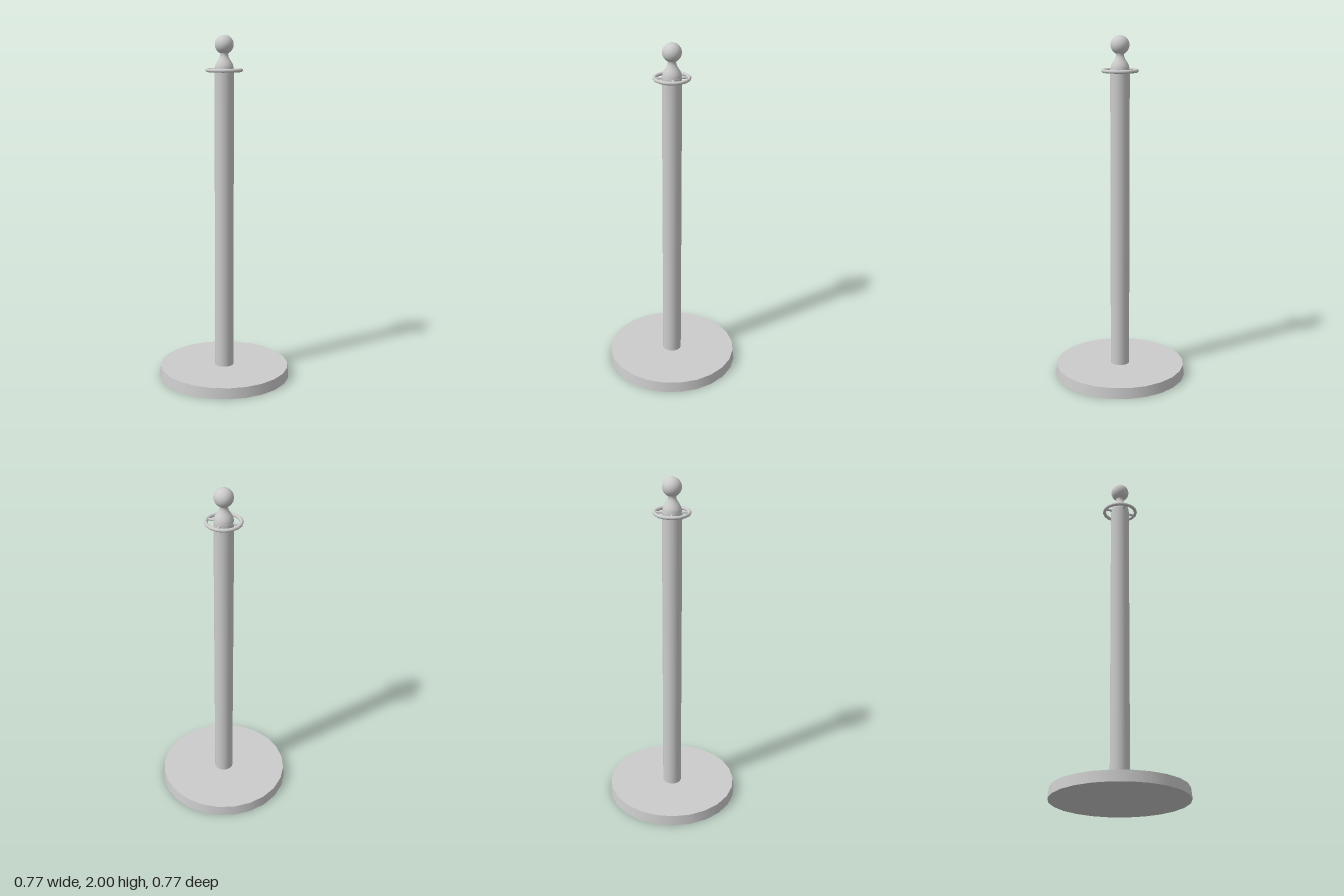
import * as THREE from 'three';

export function createModel() {
  const group = new THREE.Group();
  const material = new THREE.MeshStandardMaterial({ color: 0xcccccc });
  const add = (name, geometry, parent = group) => {
    const mesh = new THREE.Mesh(geometry, material);
    mesh.name = name;
    parent.add(mesh);
    return mesh;
  };

  // Heavy round foot, slightly tapered
  const base = add('base', new THREE.CylinderGeometry(0.38, 0.387, 0.062, 24));
  base.position.y = 0.031;
  base.rotation.y = 0.03;

  // Upright pole
  const pole = add('pole', new THREE.CylinderGeometry(0.055, 0.055, 1.75, 32));
  pole.position.y = 0.06 + 1.75 / 2;

  // Bell-shaped collar narrowing to the neck
  const collarProfile = [
    [0.054, 1.8], [0.053, 1.82], [0.049, 1.836], [0.04, 1.853],
    [0.03, 1.868], [0.024, 1.882], [0.022, 1.893], [0.026, 1.904],
  ].map(([r, y]) => new THREE.Vector2(r, y));
  add('collar', new THREE.LatheGeometry(collarProfile, 32));

  // Ball finial
  const ball = add('ball', new THREE.SphereGeometry(0.053, 32, 20));
  ball.position.y = 1.947;

  // Rope ring held by four diagonal spokes
  const ringGroup = new THREE.Group();
  ringGroup.name = 'ropeRing';
  ringGroup.position.y = 1.805;
  group.add(ringGroup);
  const ring = add('ring', new THREE.TorusGeometry(0.096, 0.01, 10, 16), ringGroup);
  ring.rotation.x = Math.PI / 2;
  for (let i = 0; i < 4; i++) {
    const angle = Math.PI / 4 + (i * Math.PI) / 2;
    const spokeGeometry = new THREE.CylinderGeometry(0.007, 0.007, 0.052, 8);
    spokeGeometry.rotateZ(Math.PI / 2).translate(0.068, 0, 0);
    add('spoke', spokeGeometry, ringGroup).rotation.y = angle;
  }
  return group;
}
